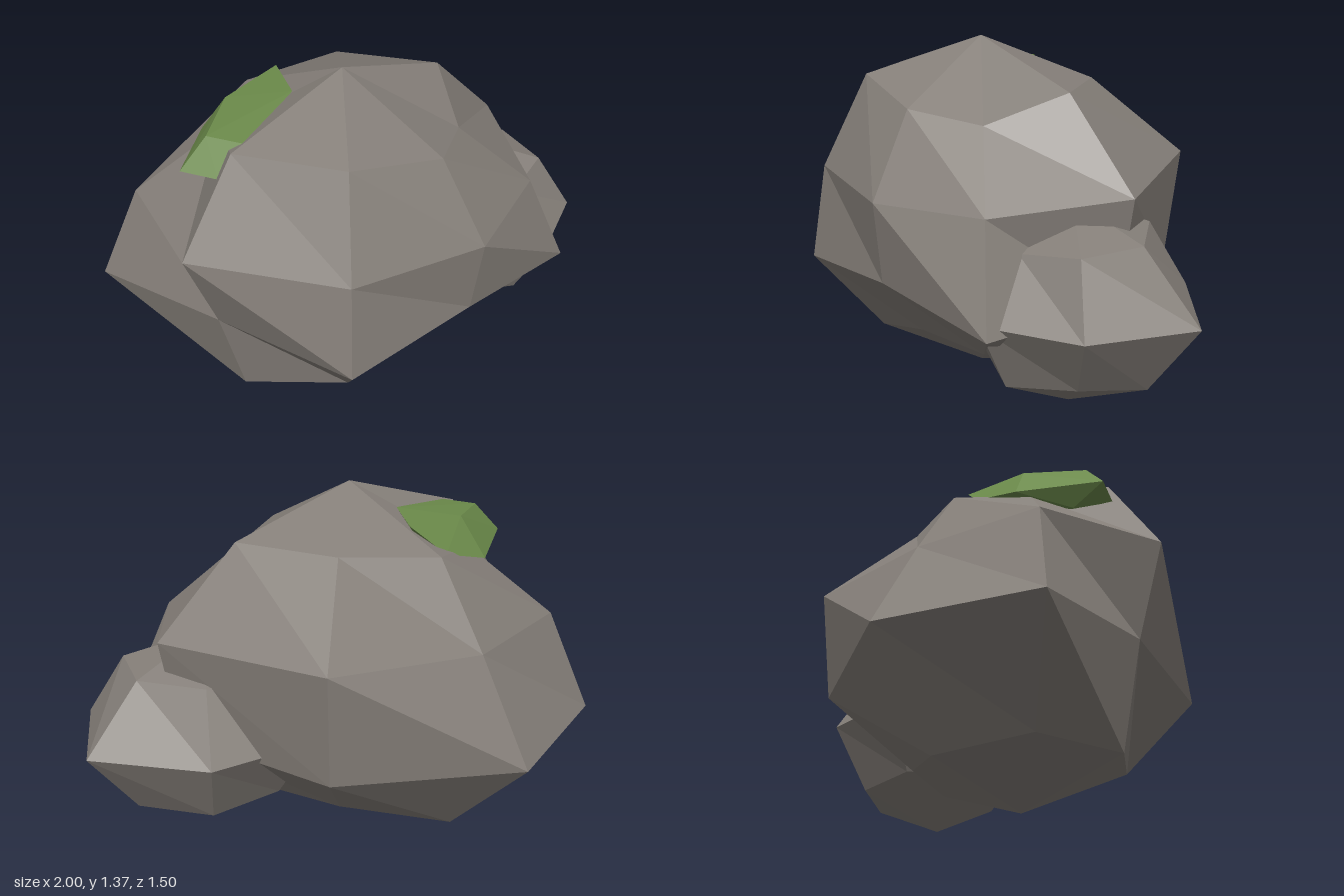
import * as THREE from 'three';
import { ConvexGeometry } from 'three/addons/geometries/ConvexGeometry.js';

// Coarse ellipsoid whose vertices are pushed in or out by a factor per ring and column
function boulder(name, material, columns, phiStart, radii, centre, factors) {
  const geo = new THREE.SphereGeometry(1, columns, factors.length - 1, phiStart);
  const pos = geo.attributes.position;
  for (let i = 0; i < pos.count; i++) {
    const ring = factors[Math.floor(i / (columns + 1))];
    const k = ring[(i % (columns + 1)) % ring.length];
    pos.setXYZ(i, pos.getX(i) * radii[0] * k, pos.getY(i) * radii[1] * k, pos.getZ(i) * radii[2] * k);
  }
  geo.computeVertexNormals();
  const mesh = new THREE.Mesh(geo, material);
  mesh.name = name;
  mesh.position.set(...centre);
  return mesh;
}

export function createModel() {
  const stone = new THREE.MeshStandardMaterial({ color: 0x857f79, flatShading: true });
  stone.name = 'stone grey';
  const green = new THREE.MeshStandardMaterial({ color: 0x6b8a4a, flatShading: true });
  green.name = 'moss green';

  const model = new THREE.Group();
  model.name = 'mossyRocks';

  // Large rock: columns run from -x through +z, +x and -z
  model.add(boulder('largeRock', stone, 8, 0, [1, 0.7, 0.79], [-0.015, 0.67, 0.06], [
    [1.007],
    [0.8, 0.975, 0.978, 0.84, 0.76, 0.955, 0.945, 0.88],
    [0.852, 0.885, 0.845, 0.751, 0.789, 0.98, 1.078, 0.79],
    [1.036, 0.736, 0.925, 0.706, 0.967, 0.9, 1.01, 1.06],
    [0.978, 0.998, 0.892, 0.725, 0.79, 0.88, 0.9, 1.06],
    [0.957],
  ]));

  // Small rock leaning into its side: columns run from +x through -z, -x and +z
  model.add(boulder('smallRock', stone, 7, Math.PI, [0.5, 0.38, 0.45], [0.524, 0.49, -0.255], [
    [0.95],
    [0.908, 0.92, 0.95, 0.95, 0.95, 0.95, 0.81],
    [0.952, 1.155, 1.02, 1, 1, 1, 0.97],
    [0.885, 1.03, 1, 0.95, 0.95, 0.95, 0.98],
    [1.11],
  ]));

  // Moss clump bedded into the large rock's shoulder
  const mossPoints = [
    // upper ridge
    [-0.26, 1.265, -0.17], [-0.2, 1.275, 0.05], [-0.26, 1.25, 0.19],
    [-0.37, 1.235, 0.34], [-0.51, 1.235, 0.28], [-0.45, 1.25, 0.04],
    // outer rim
    [-0.61, 1.118, 0.325], [-0.55, 1.095, 0], [-0.4, 1.15, -0.14], [-0.47, 1.118, 0.385],
    // buried underside
    [-0.54, 1.04, 0.22], [-0.3, 1.1, 0.1],
  ].map((p) => new THREE.Vector3(...p));
  const moss = new THREE.Mesh(new ConvexGeometry(mossPoints), green);
  moss.name = 'mossPatch';
  model.add(moss);

  return model;
}
